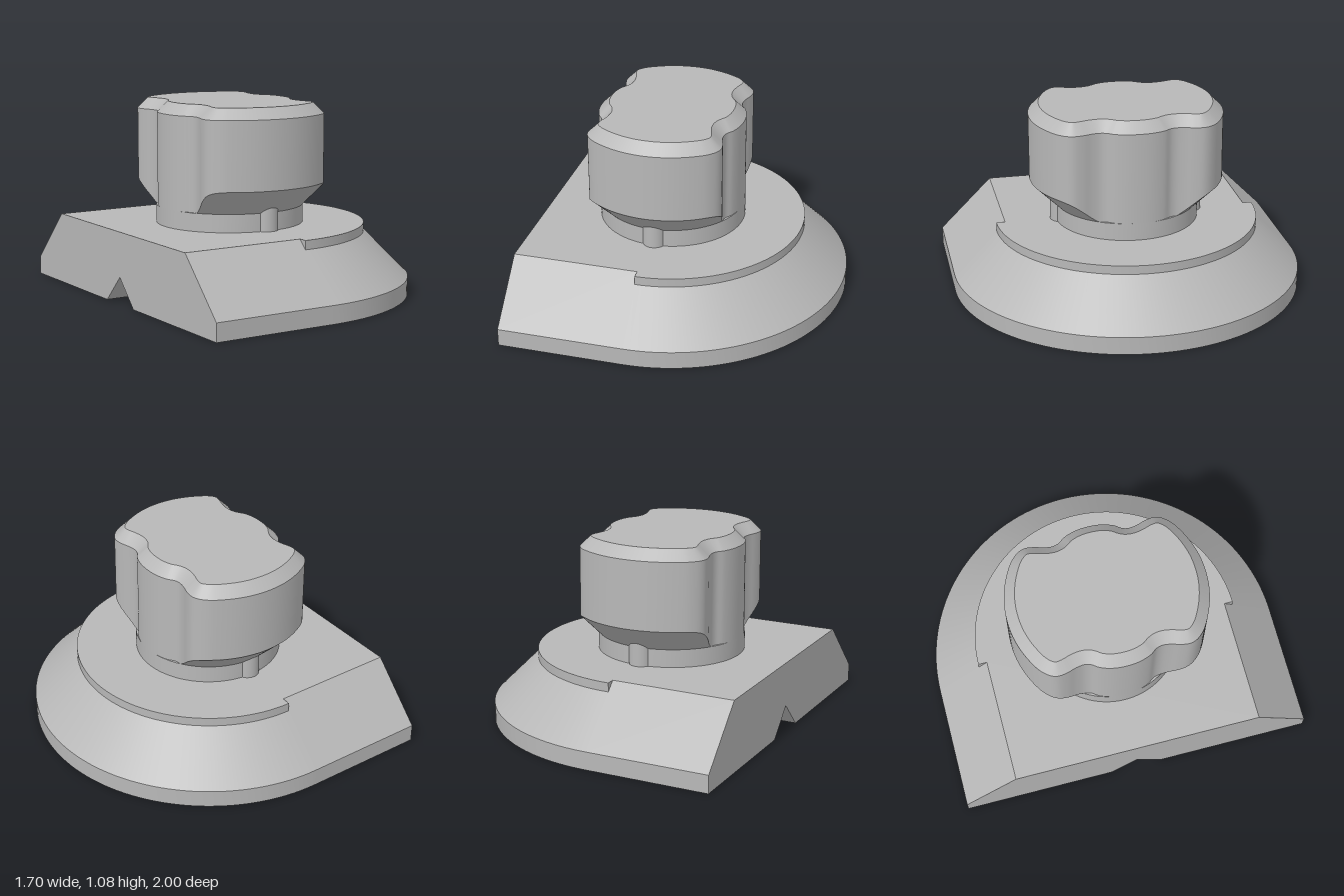
import * as THREE from 'three';
import { toCreasedNormals, mergeGeometries } from 'three/addons/utils/BufferGeometryUtils.js';

const CX = -0.15; // axis of the round parts
const NECK_R = 0.41, NECK_TOP = 0.5;

// Closed strip between two rings of equal point count, smooth inside the strip
function band(lower, upper) {
  const n = lower.length;
  const index = [];
  for (let i = 0; i < n; i++) {
    const j = (i + 1) % n;
    index.push(i, j, n + j, i, n + j, n + i);
  }
  const g = new THREE.BufferGeometry().setFromPoints([...lower, ...upper]);
  g.setIndex(index);
  g.computeVertexNormals();
  return g;
}

// Grip outline in (x, z): one quarter mirrored twice, sampled as a closed curve
function gripOutline(count) {
  const quarter = [
    [0, 0.55], [0.1, 0.541], [0.2, 0.512], [0.3, 0.461], [0.338, 0.429], [0.363, 0.395],
    [0.373, 0.36], [0.367, 0.31], [0.352, 0.26], [0.346, 0.215], [0.354, 0.18],
    [0.381, 0.14], [0.403, 0.075], [0.41, 0],
  ];
  const half = [...quarter, ...quarter.slice(0, -1).reverse().map(([x, z]) => [x, -z])];
  const full = [...half, ...half.slice(1, -1).reverse().map(([x, z]) => [-x, z])];
  const curve = new THREE.CatmullRomCurve3(
    full.map(([x, z]) => new THREE.Vector3(x, 0, z)), true, 'centripetal');
  return Array.from({ length: count }, (_, i) => ({
    p: curve.getPoint(i / count),
    t: curve.getTangent(i / count),
  }));
}

export function createModel() {
  const model = new THREE.Group();
  model.name = 'clampKnob';
  const grey = new THREE.MeshStandardMaterial({ color: 0xb8b8b8 });
  grey.name = 'plainGrey';

  const add = (name, geometry, parent = model) => {
    const mesh = new THREE.Mesh(geometry, grey);
    mesh.name = name;
    parent.add(mesh);
    return mesh;
  };
  const shape = (pts) => new THREE.Shape(pts.map(([x, y]) => new THREE.Vector2(x, y)));

  // Straight half of the base, with the V groove underneath
  const block = new THREE.ExtrudeGeometry(shape([
    [-1, 0], [-0.15, 0], [0, 0.15], [0.15, 0], [1, 0], [1, 0.1], [0.7, 0.4], [-0.7, 0.4], [-1, 0.1],
  ]), { depth: 0.7, bevelEnabled: false });
  block.rotateY(-Math.PI / 2).translate(CX, 0, 0);
  add('baseBlock', block);

  // Round half of the base, with the conical groove end and the raised rim
  const profile = [
    [0, 0.15], [0.15, 0], [1, 0], [1, 0.1], [0.75, 0.35], [0.75, 0.4], [0, 0.4],
  ].map(([r, y]) => new THREE.Vector2(r, y));
  const round = toCreasedNormals(new THREE.LatheGeometry(profile, 72, 0, Math.PI), 0.5);
  add('baseRound', round.translate(CX, 0, 0));

  // Small end faces where the rim stands proud of the block
  const steps = new THREE.ShapeGeometry([
    shape([[0.7, 0.4], [0.75, 0.35], [0.75, 0.4]]),
    shape([[-0.7, 0.4], [-0.75, 0.4], [-0.75, 0.35]]),
  ]);
  add('rimSteps', steps.rotateY(-Math.PI / 2).translate(CX, 0, 0));

  // Grip and neck share the same polar sampling
  const knob = new THREE.Group();
  knob.name = 'knob';
  knob.position.x = CX;
  model.add(knob);

  const outline = gripOutline(208);
  const ring = (fn) => outline.map(({ p, t }) => fn(p, t));
  const neckRing = (y) => ring((p) => {
    const s = NECK_R / Math.hypot(p.x, p.z);
    return new THREE.Vector3(p.x * s, y, p.z * s);
  });
  const neckTop = neckRing(NECK_TOP);
  const lowerEdge = ring((p) => new THREE.Vector3(
    p.x, NECK_TOP + Math.max(0, Math.hypot(p.x, p.z) - NECK_R), p.z));
  const shoulder = ring((p) => new THREE.Vector3(p.x, 1.02, p.z));
  const topEdge = ring((p, t) => new THREE.Vector3(p.x + t.z * 0.06, 1.08, p.z - t.x * 0.06));
  const topCentre = ring(() => new THREE.Vector3(0, 1.08, 0));

  add('neck', band(neckRing(0.4), neckTop), knob);
  add('grip', mergeGeometries([
    band(neckTop, lowerEdge), // conical undercut
    band(lowerEdge, shoulder), // side wall
    band(shoulder, topEdge), // top chamfer
    band(topEdge, topCentre), // flat top
  ]), knob);

  // Stop pins at the front and back of the neck
  for (const side of [1, -1]) {
    const pin = add(side > 0 ? 'frontPin' : 'backPin',
      new THREE.CylinderGeometry(0.065, 0.065, 0.15, 32), knob);
    pin.position.set(0, 0.475, side * 0.375);
  }
  return model;
}
